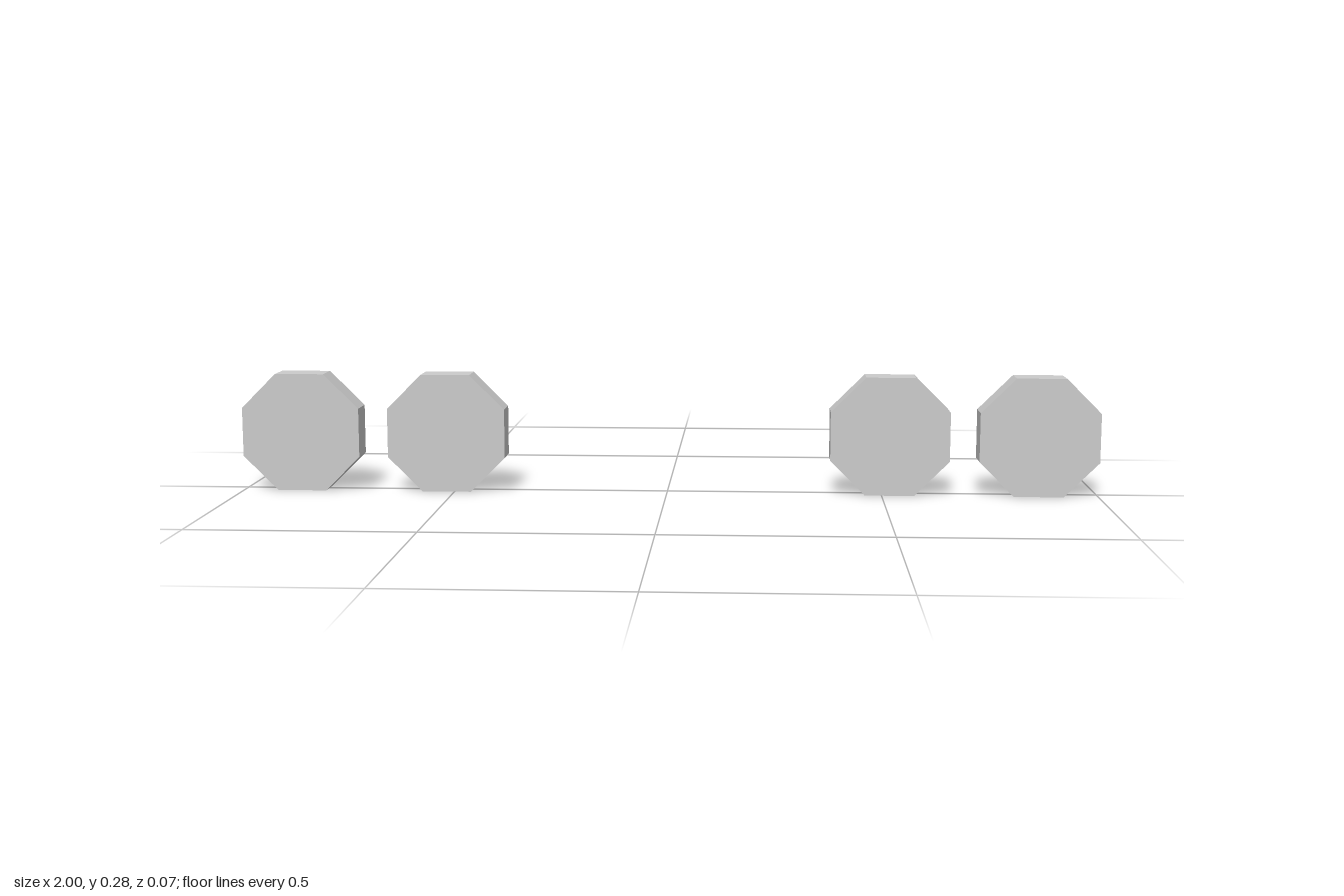
import * as THREE from 'three';

export function createModel() {
  const model = new THREE.Group();
  model.name = 'wheelSet';
  const material = new THREE.MeshStandardMaterial({ color: 0xcccccc, flatShading: true });

  // Octagonal wheel standing on one flat side, axle along z
  const apothem = 0.138;
  const width = 0.07;
  const radius = apothem / Math.cos(Math.PI / 8);
  const wheelGeometry = new THREE.CylinderGeometry(radius, radius, width, 8, 1, false, Math.PI / 8);
  wheelGeometry.rotateX(Math.PI / 2);

  // An outer and an inner wheel, mirrored to both ends
  const wheels = [['Outer', 1 - apothem], ['Inner', 0.518]];
  for (const [side, sign] of [['left', 1], ['right', -1]]) {
    for (const [place, x] of wheels) {
      const wheel = new THREE.Mesh(wheelGeometry, material);
      wheel.name = `${side}${place}Wheel`;
      wheel.position.set(sign * x, apothem, 0);
      model.add(wheel);
    }
  }
  return model;
}
